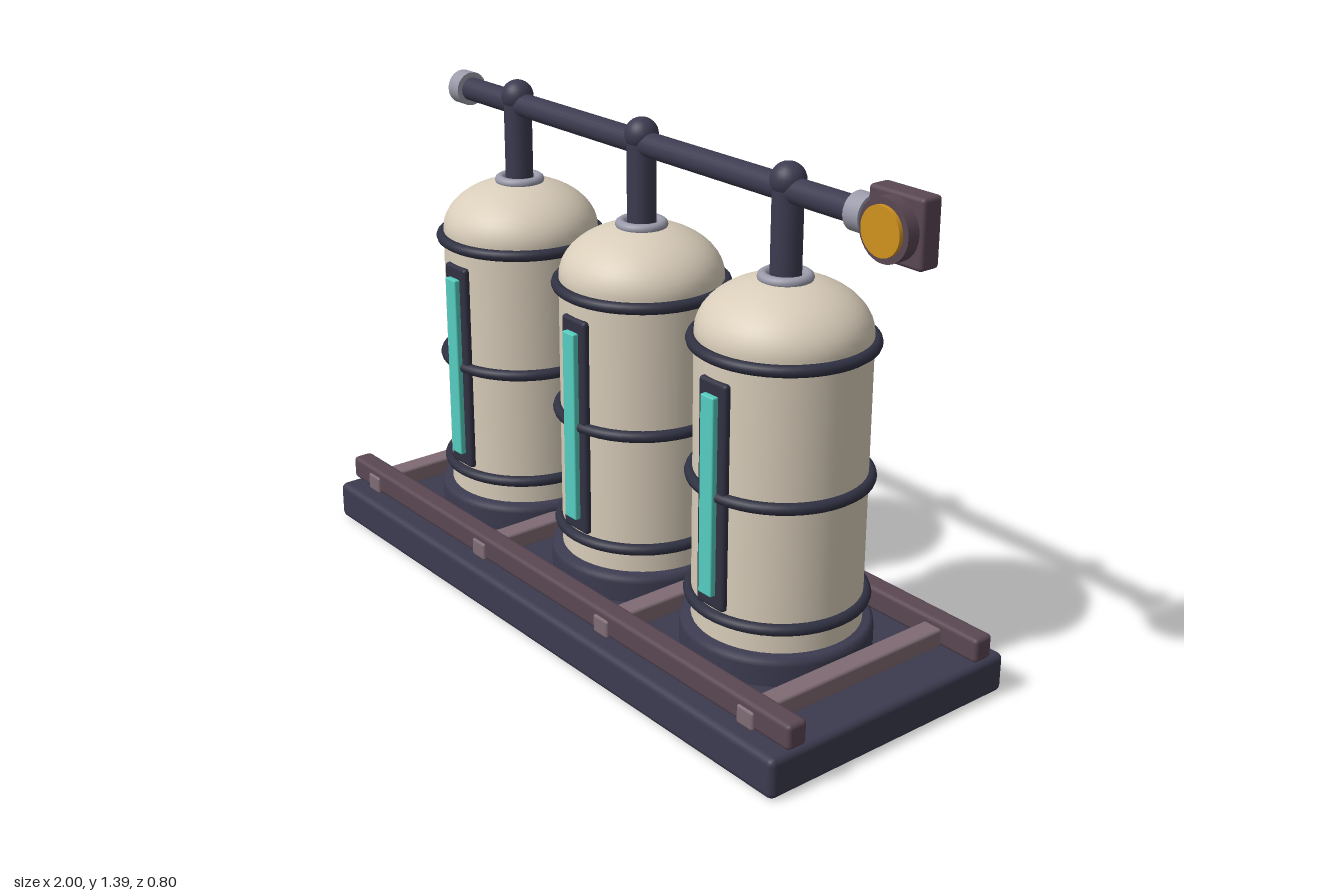
import * as THREE from 'three';
import { RoundedBoxGeometry } from 'three/addons/geometries/RoundedBoxGeometry.js';

const mat = (name, color) => {
  const m = new THREE.MeshStandardMaterial({ color });
  m.name = name;
  return m;
};

export function createModel() {
  const navy = mat('navy steel', 0x3c3b50);
  const dark = mat('dark steel', 0x303142);
  const cream = mat('cream paint', 0xd9cdba);
  const plum = mat('plum steel', 0x5a4753);
  const mauve = mat('mauve steel', 0x7f6b74);
  const grey = mat('grey metal', 0x9a9aaa);
  const teal = mat('teal glass', 0x55cdbf);
  const amber = mat('amber lamp', 0xd0921f);

  const model = new THREE.Group();
  model.name = 'tankRack';
  const add = (parent, name, geo, material, x, y, z) => {
    const m = new THREE.Mesh(geo, material);
    m.name = name;
    m.position.set(x, y, z);
    parent.add(m);
    return m;
  };
  const box = (w, h, d, r) => new RoundedBoxGeometry(w, h, d, 2, r);
  const midX = -0.02, pitch = 0.554, pipeY = 1.31;

  // Skid: slab, long rails and cross bars
  add(model, 'baseSlab', box(1.96, 0.11, 0.8, 0.018), navy, midX, 0.055, 0);
  for (const s of [-1, 1])
    add(model, s > 0 ? 'frontRail' : 'backRail', box(1.96, 0.068, 0.06, 0.012), plum, midX, 0.149, s * 0.318);
  for (let i = 0; i < 4; i++)
    add(model, 'crossBar', box(0.06, 0.052, 0.708, 0.008), mauve, midX + (i - 1.5) * 0.562 - 0.013, 0.138, 0);

  // Tank profile: straight wall under an elliptical dome
  const wall = [new THREE.Vector2(0, 0.11), new THREE.Vector2(0.22, 0.11), new THREE.Vector2(0.22, 0.11)];
  for (let i = 0; i <= 12; i++) {
    const a = (i / 12) * Math.PI / 2;
    wall.push(new THREE.Vector2(0.22 * Math.cos(a), 0.955 + 0.14 * Math.sin(a)));
  }
  const tankGeo = new THREE.LatheGeometry(wall, 48);
  const footGeo = new THREE.LatheGeometry([
    [0.25, 0.105], [0.25, 0.165], [0.248, 0.178], [0.238, 0.187], [0.2, 0.187],
  ].map(([r, y]) => new THREE.Vector2(r, y)), 48);
  const bandGeo = new THREE.TorusGeometry(0.225, 0.0155, 10, 48);
  const collarGeo = new THREE.TorusGeometry(0.056, 0.014, 10, 32);
  const riserGeo = new THREE.CylinderGeometry(0.039, 0.039, 0.25, 24);
  const ballGeo = new THREE.SphereGeometry(0.045, 24, 16);

  for (let i = -1; i <= 1; i++) {
    const tank = new THREE.Group();
    tank.name = 'tank';
    tank.position.x = midX + i * pitch;
    model.add(tank);
    add(tank, 'tankBody', tankGeo, cream, 0, 0, 0);
    add(tank, 'tankFoot', footGeo, navy, 0, 0, 0);
    for (const y of [0.255, 0.582, 0.935])
      add(tank, 'band', bandGeo, dark, 0, y, 0).rotation.x = Math.PI / 2;
    // Level gauge on the front
    add(tank, 'gaugeFrame', box(0.1, 0.605, 0.05, 0.01), dark, 0, 0.578, 0.205);
    add(tank, 'gaugeGlass', box(0.048, 0.53, 0.04, 0.004), teal, 0, 0.58, 0.226);
    // Outlet up to the manifold
    add(tank, 'neckCollar', collarGeo, grey, 0, 1.093, 0).rotation.x = Math.PI / 2;
    add(tank, 'riserPipe', riserGeo, navy, 0, 1.195, 0);
    add(tank, 'jointBall', ballGeo, navy, 0, 1.332, 0);
  }

  // Manifold pipe with end caps
  add(model, 'manifoldPipe', new THREE.CylinderGeometry(0.033, 0.033, 1.64, 24), navy, midX, pipeY, 0)
    .rotation.z = Math.PI / 2;
  for (const s of [-1, 1])
    add(model, 'endCap', new THREE.CylinderGeometry(0.048, 0.048, 0.048, 24), grey, midX + s * 0.808, pipeY, 0)
      .rotation.z = Math.PI / 2;

  // Signal lamp facing the front
  const lamp = new THREE.Group();
  lamp.name = 'signalLamp';
  lamp.position.set(0.912, pipeY, 0);
  model.add(lamp);
  add(lamp, 'lampHousing', box(0.17, 0.168, 0.06, 0.01), plum, 0, 0, 0.003);
  add(lamp, 'lampBezel', new THREE.CylinderGeometry(0.076, 0.076, 0.04, 32), plum, 0, 0, 0.047)
    .rotation.x = Math.PI / 2;
  add(lamp, 'lampLens', new THREE.CylinderGeometry(0.06, 0.06, 0.02, 32), amber, 0, 0, 0.068)
    .rotation.x = Math.PI / 2;

  return model;
}
